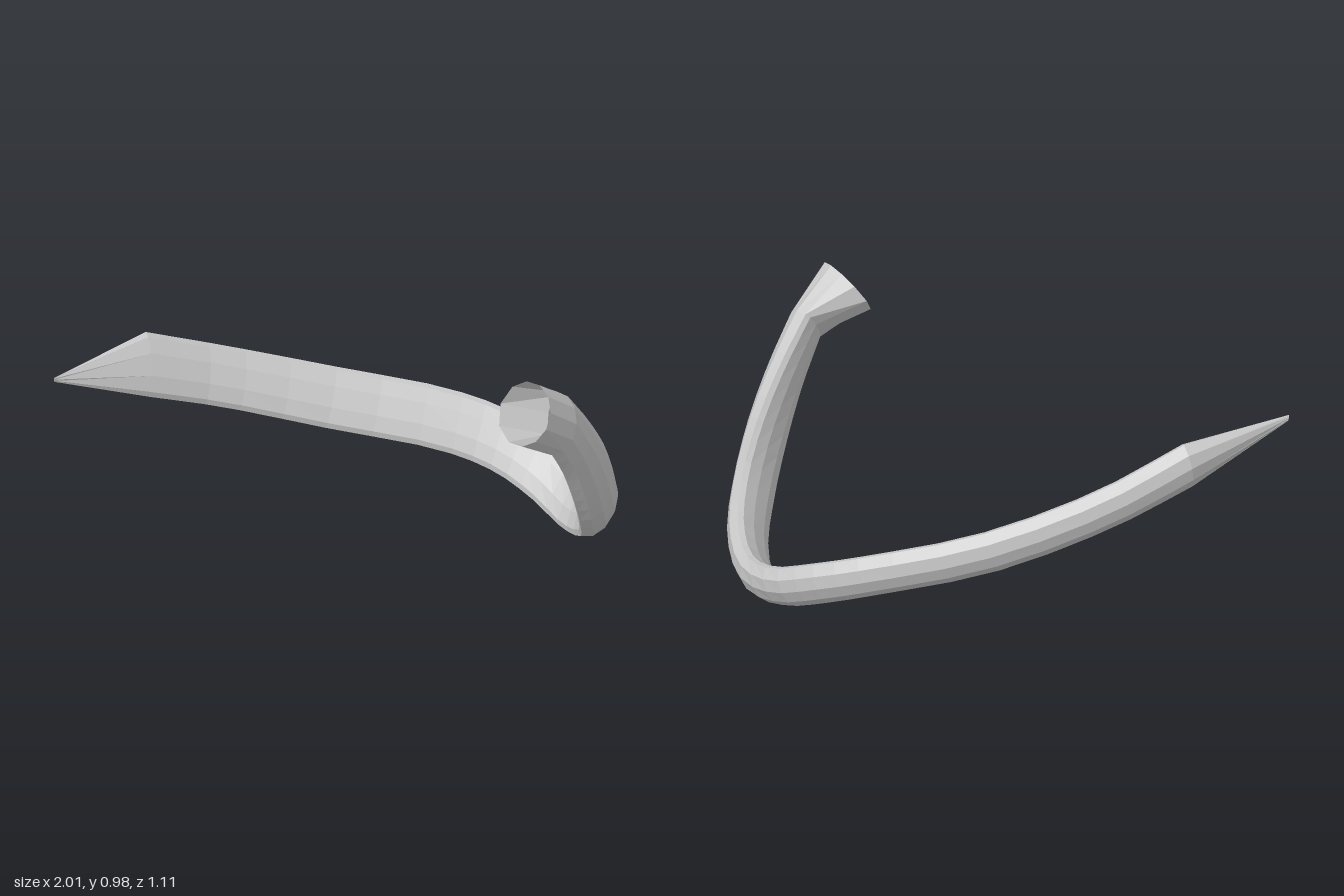
import * as THREE from 'three';

const v = (x, y, z) => new THREE.Vector3(x, y, z);

// Upper and lower edges of the broad inner face, from the pointed end to the socket
const upper = new THREE.CatmullRomCurve3([
  v(-0.68, 0.803, -0.18), v(-0.4, 0.662, -0.335), v(0, 0.505, -0.465), v(0.4, 0.39, -0.52),
  v(0.61, 0.315, -0.5), v(0.775, 0.235, -0.425), v(0.885, 0.2, -0.295), v(0.94, 0.255, -0.175),
  v(0.95, 0.37, -0.055), v(0.918, 0.54, 0.045), v(0.863, 0.705, 0.16), v(0.795, 0.86, 0.275),
]);
const lower = new THREE.CatmullRomCurve3([
  v(-0.66, 0.605, -0.085), v(-0.41, 0.49, -0.22), v(-0.03, 0.335, -0.345), v(0.37, 0.22, -0.4),
  v(0.55, 0.15, -0.385), v(0.68, 0.083, -0.325), v(0.795, 0.025, -0.215), v(0.865, 0.08, -0.065),
  v(0.872, 0.205, 0.07), v(0.855, 0.37, 0.19), v(0.825, 0.54, 0.3), v(0.785, 0.69, 0.41),
]);

// Section angles: half ellipse on the outside, wider steps on the inside
const angles = [0, 30, 60, 90, 120, 150, 180, 212, 250, 290, 328].map(THREE.MathUtils.degToRad);

// One ring: u is the half width vector, n the outward direction
function ring(center, u, n, outer, inner) {
  return angles.map((a) => {
    const s = Math.sin(a);
    return center.clone().addScaledVector(u, Math.cos(a)).addScaledVector(n, s * (s > 0 ? outer : inner));
  });
}

// Rounded outside, shallow inside, set slightly outward of the edge curves
function edgeRing(top, bottom, tangent, outer) {
  const u = top.clone().sub(bottom).multiplyScalar(0.53);
  const n = u.clone().cross(tangent).normalize();
  const center = top.clone().lerp(bottom, 0.5).addScaledVector(n, outer * 0.12);
  return ring(center, u, n, outer, outer * 0.36);
}

// Skin a list of rings, with an optional cap on the first one
function loft(rings, capFirst) {
  const count = angles.length;
  const index = [];
  for (let i = 0; i < rings.length - 1; i++) {
    for (let j = 0; j < count; j++) {
      const a = i * count + j, b = i * count + (j + 1) % count;
      index.push(a, a + count, b, b, a + count, b + count);
    }
  }
  if (capFirst) for (let j = 1; j < count - 1; j++) index.push(0, j, j + 1);
  const geometry = new THREE.BufferGeometry().setFromPoints(rings.flat());
  geometry.setIndex(index);
  geometry.computeVertexNormals();
  return geometry;
}

export function createModel() {
  const group = new THREE.Group();
  group.name = 'curvedHorn';
  const material = new THREE.MeshStandardMaterial({
    color: 0xcccccc, flatShading: true, side: THREE.DoubleSide,
  });
  const add = (name, geometry) => {
    const mesh = new THREE.Mesh(geometry, material);
    mesh.name = name;
    group.add(mesh);
  };

  // Long curved shaft, flatter on its inner side
  const steps = 28;
  const shaft = [];
  for (let i = 0; i <= steps; i++) {
    const t = i / steps;
    const tangent = upper.getTangent(t).add(lower.getTangent(t));
    shaft.push(edgeRing(upper.getPoint(t), lower.getPoint(t), tangent, 0.082));
  }
  add('shaft', loft(shaft));

  // Tapered point
  const tipRing = edgeRing(v(-1, 0.787, 0.118), v(-0.998, 0.767, 0.11), v(0.7, 0, -0.7), 0.004);
  add('point', loft([tipRing, shaft[0]], true));

  // Open round socket
  const axis = v(-0.58, 0.52, 0.63).normalize();
  const u = upper.getPoint(1).sub(lower.getPoint(1)).projectOnPlane(axis).setLength(0.118);
  const n = u.clone().cross(axis).normalize();
  const mouth = ring(v(0.695, 0.885, 0.465), u, n, 0.118, 0.118);
  add('socket', loft([shaft[steps], mouth]));

  return group;
}
